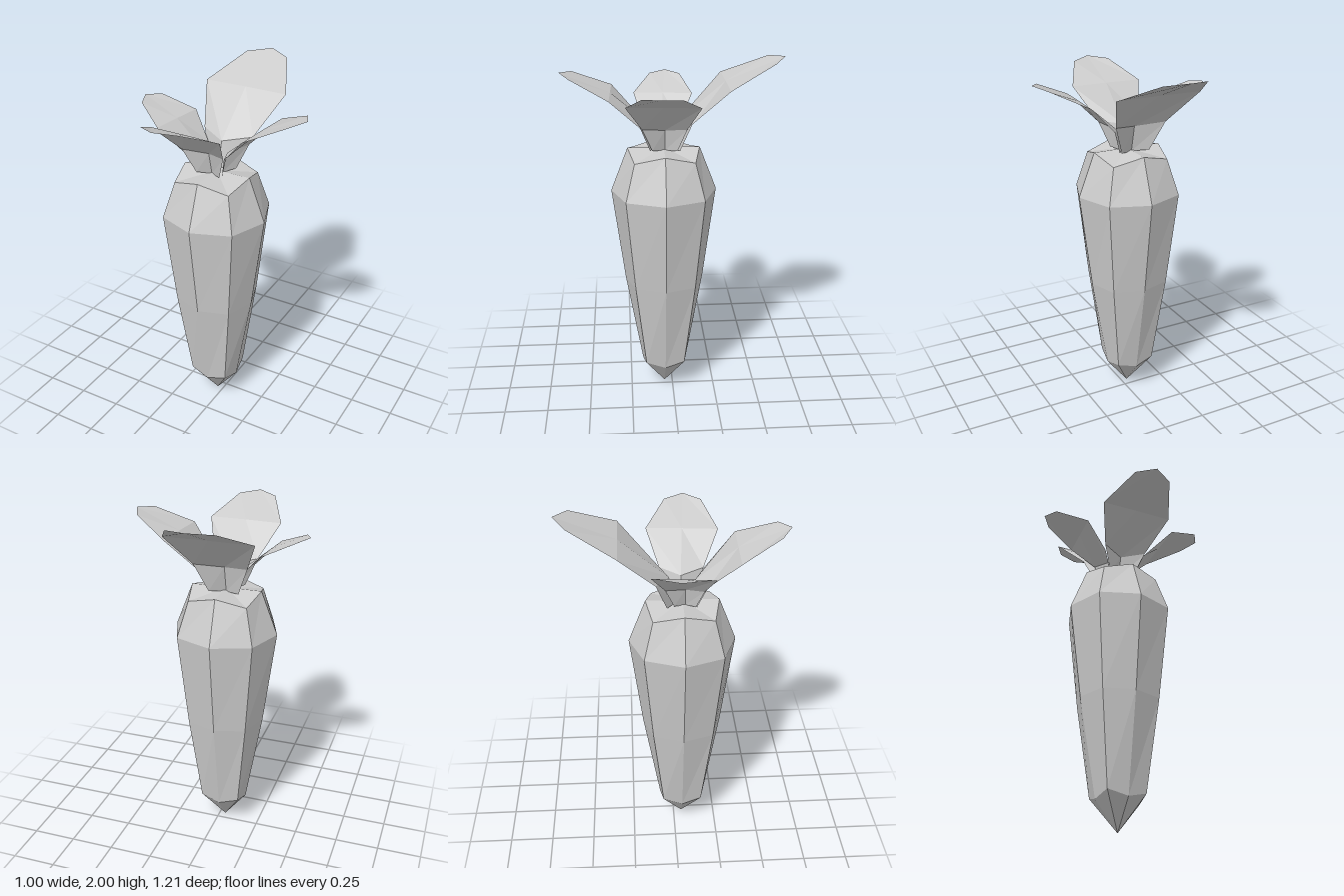
import * as THREE from 'three';

const material = (extra = {}) =>
  new THREE.MeshStandardMaterial({ color: 0xcccccc, flatShading: true, ...extra });

// Turns a list of triangles (each three Vector3 corners) into a faceted mesh.
function facetedMesh(name, points, extra) {
  const geometry = new THREE.BufferGeometry().setFromPoints(points);
  geometry.computeVertexNormals();
  const mesh = new THREE.Mesh(geometry, material(extra));
  mesh.name = name;
  return mesh;
}

// Tapered eight-sided root; the diagonal corners differ from the axial ones.
function createRoot() {
  // [axial height, axial radius, diagonal height, diagonal radius]
  const profile = [
    [0.165, 0.13, 0.195, 0.16],
    [0.72, 0.225, 0.72, 0.24],
    [1.265, 0.295, 1.265, 0.304],
    [1.51, 0.2, 1.467, 0.233],
  ];
  const rings = profile.map(([ya, ra, yd, rd]) =>
    Array.from({ length: 8 }, (_, i) => {
      const a = (i * Math.PI) / 4;
      const r = i % 2 ? rd : ra;
      return new THREE.Vector3(r * Math.sin(a), i % 2 ? yd : ya, r * Math.cos(a));
    }));
  const tip = new THREE.Vector3(0, 0, 0);
  const crown = new THREE.Vector3(0, 1.51, 0);
  const points = [];
  for (let i = 0; i < 8; i++) {
    const j = (i + 1) % 8;
    points.push(tip, rings[0][j], rings[0][i]);
    for (let k = 0; k < rings.length - 1; k++) {
      const lower = rings[k], upper = rings[k + 1];
      points.push(lower[i], lower[j], upper[j], lower[i], upper[j], upper[i]);
    }
    points.push(crown, rings[3][i], rings[3][j]);
  }
  const root = facetedMesh('root', points);
  root.position.set(-0.035, 0, 0.047);
  return root;
}

// Leaf growing outward along +z, folded along its middle at the stalk.
function createLeaf({ name, x, z, angle, size }) {
  // [half width, edge height, edge reach, middle height, middle reach]
  const rows = [
    [0.085, 0, 0.05, -0.01, 0],
    [0.15, 0.165, 0.11, 0.14, 0.035],
    [0.245, 0.36, 0.3, 0.362, 0.3],
    [0.127, 0.473, 0.55, 0.49, 0.62],
  ];
  const points = [];
  for (const side of [-1, 1]) {
    const edge = rows.map(([w, y, d]) => new THREE.Vector3(side * w, y, d));
    const middle = rows.map(([, , , y, d]) => new THREE.Vector3(0, y, d));
    for (let k = 0; k < rows.length - 1; k++) {
      const quad = [edge[k], edge[k + 1], middle[k + 1], middle[k]];
      if (side > 0) quad.reverse();
      const [a, b, c, d] = quad;
      points.push(a, b, c, a, c, d);
    }
  }
  const leaf = facetedMesh(name, points, { side: THREE.DoubleSide });
  leaf.position.set(x, 1.51, z);
  leaf.rotation.y = angle;
  leaf.scale.setScalar(size);
  return leaf;
}

export function createModel() {
  const model = new THREE.Group();
  model.name = 'rootVegetable';
  model.add(createRoot());

  // Four leaves of different sizes around the crown
  const leaves = [
    { name: 'backLeaf', x: -0.045, z: 0.01, angle: Math.PI, size: 1 },
    { name: 'frontLeaf', x: -0.045, z: 0.08, angle: -0.03, size: 0.845 },
    { name: 'leftLeaf', x: 0, z: 0.04, angle: 1.49, size: 0.805 },
    { name: 'rightLeaf', x: -0.08, z: 0.06, angle: -1.68, size: 0.68 },
  ];
  for (const leaf of leaves) model.add(createLeaf(leaf));
  return model;
}
